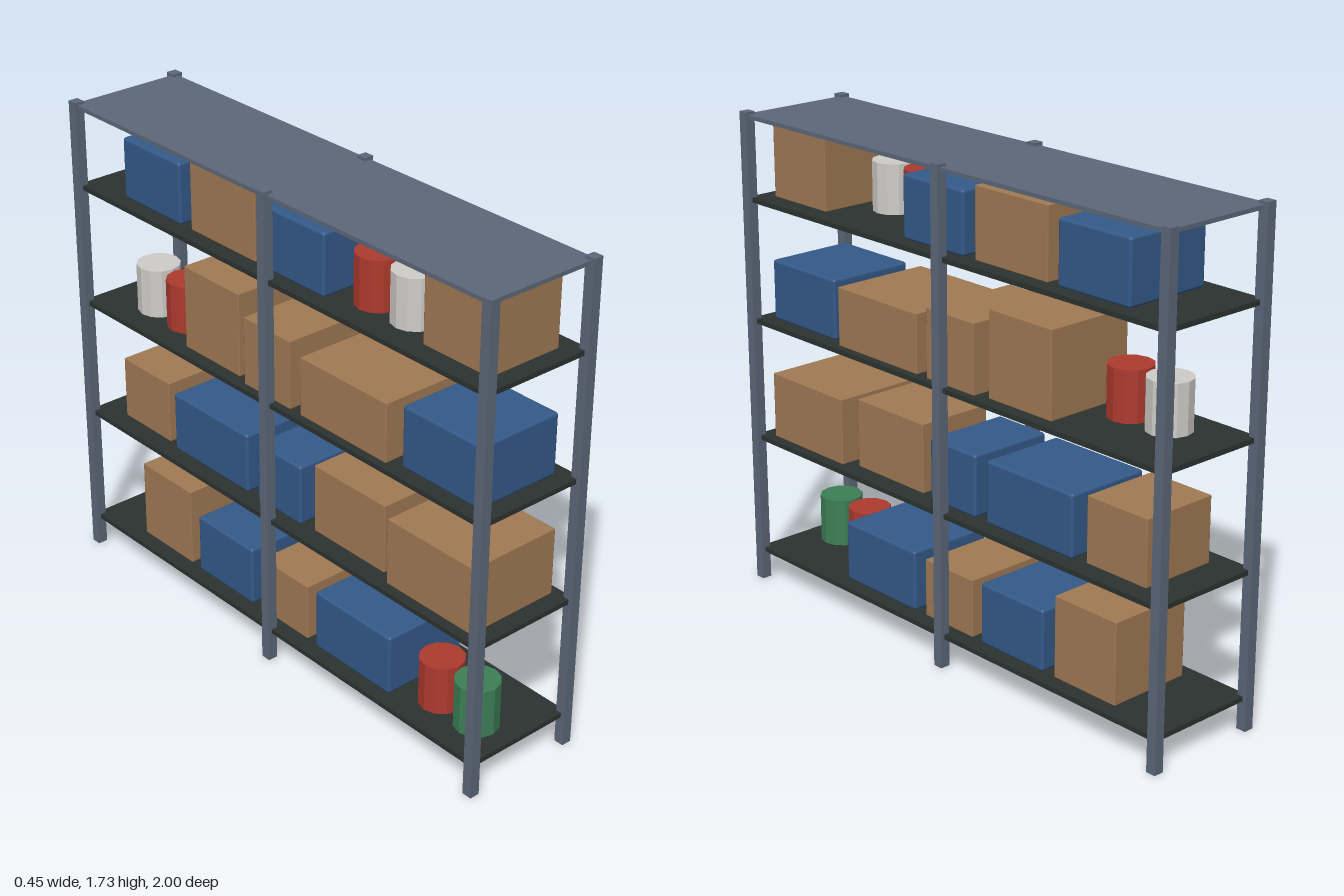
import * as THREE from 'three';
import { RoundedBoxGeometry } from 'three/addons/geometries/RoundedBoxGeometry.js';

const mat = (name, color, extra = {}) => {
  const m = new THREE.MeshStandardMaterial({ color, ...extra });
  m.name = name;
  return m;
};

export function createModel() {
  const steel = mat('steel', 0x5d687a);
  const deck = mat('darkDeck', 0x2c3331);
  const cardboard = mat('cardboard', 0xa17a54);
  const plastic = mat('bluePlastic', 0x345a8a);
  const paints = {
    green: mat('greenPaint', 0x3d8057, { flatShading: true }),
    red: mat('redPaint', 0xae3a2e, { flatShading: true }),
    white: mat('whitePaint', 0xd0cec9, { flatShading: true }),
  };

  const model = new THREE.Group();
  model.name = 'storageRack';
  const add = (name, geometry, material, x, y, z) => {
    const mesh = new THREE.Mesh(geometry, material);
    mesh.name = name;
    mesh.position.set(x, y, z);
    model.add(mesh);
  };

  // Six uprights
  const postGeometry = new THREE.BoxGeometry(0.036, 1.73, 0.036);
  for (const x of [-0.207, 0.207])
    for (const z of [-0.982, 0, 0.982]) add('post', postGeometry, steel, x, 0.865, z);

  // Top panel
  add('topPanel', new THREE.BoxGeometry(0.427, 0.014, 1.97), steel, 0, 1.713, 0);

  // Contents of each shelf: [kind, zFront, zBack, height, width]
  const shelves = [
    { y: 0.12, items: [
      ['green', 0.922, 0.768, 0.174], ['red', 0.76, 0.606, 0.174],
      ['bin', 0.55, 0.187, 0.218, 0.324], ['carton', 0.139, -0.096, 0.207, 0.31],
      ['bin', -0.144, -0.438, 0.218, 0.324], ['carton', -0.487, -0.758, 0.288, 0.312]] },
    { y: 0.556, items: [
      ['carton', 0.925, 0.545, 0.238, 0.352], ['carton', 0.497, 0.16, 0.247, 0.286],
      ['bin', 0.107, -0.114, 0.219, 0.316], ['bin', -0.166, -0.561, 0.219, 0.316],
      ['carton', -0.61, -0.866, 0.229, 0.284]] },
    { y: 0.993, items: [
      ['bin', 0.925, 0.588, 0.216, 0.324], ['carton', 0.54, 0.139, 0.208, 0.368],
      ['carton', 0.09, -0.139, 0.243, 0.37], ['carton', -0.187, -0.471, 0.299, 0.332],
      ['red', -0.519, -0.673, 0.174], ['white', -0.684, -0.838, 0.174]] },
    { y: 1.43, items: [
      ['carton', 0.925, 0.647, 0.275, 0.284], ['white', 0.594, 0.44, 0.174],
      ['red', 0.431, 0.277, 0.174], ['bin', 0.225, -0.064, 0.217, 0.324],
      ['carton', -0.112, -0.438, 0.243, 0.31], ['bin', -0.487, -0.79, 0.217, 0.324]] },
  ];

  const canGeometry = new THREE.CylinderGeometry(0.077, 0.077, 0.174, 12);
  const shelfGeometry = new THREE.BoxGeometry(0.42, 0.017, 1.97);
  for (const { y, items } of shelves) {
    add('shelf', shelfGeometry, deck, 0, y - 0.0085, 0);
    for (const [kind, z0, z1, h, w] of items) {
      const z = (z0 + z1) / 2, d = z0 - z1, cy = y + h / 2;
      if (kind === 'bin') add('storageBin', new RoundedBoxGeometry(w, h, d, 2, 0.01), plastic, 0, cy, z);
      else if (kind === 'carton') add('carton', new RoundedBoxGeometry(w, h, d, 1, 0.003), cardboard, 0, cy, z);
      else add('paintCan', canGeometry, paints[kind], -0.054, cy, z);
    }
  }
  return model;
}
